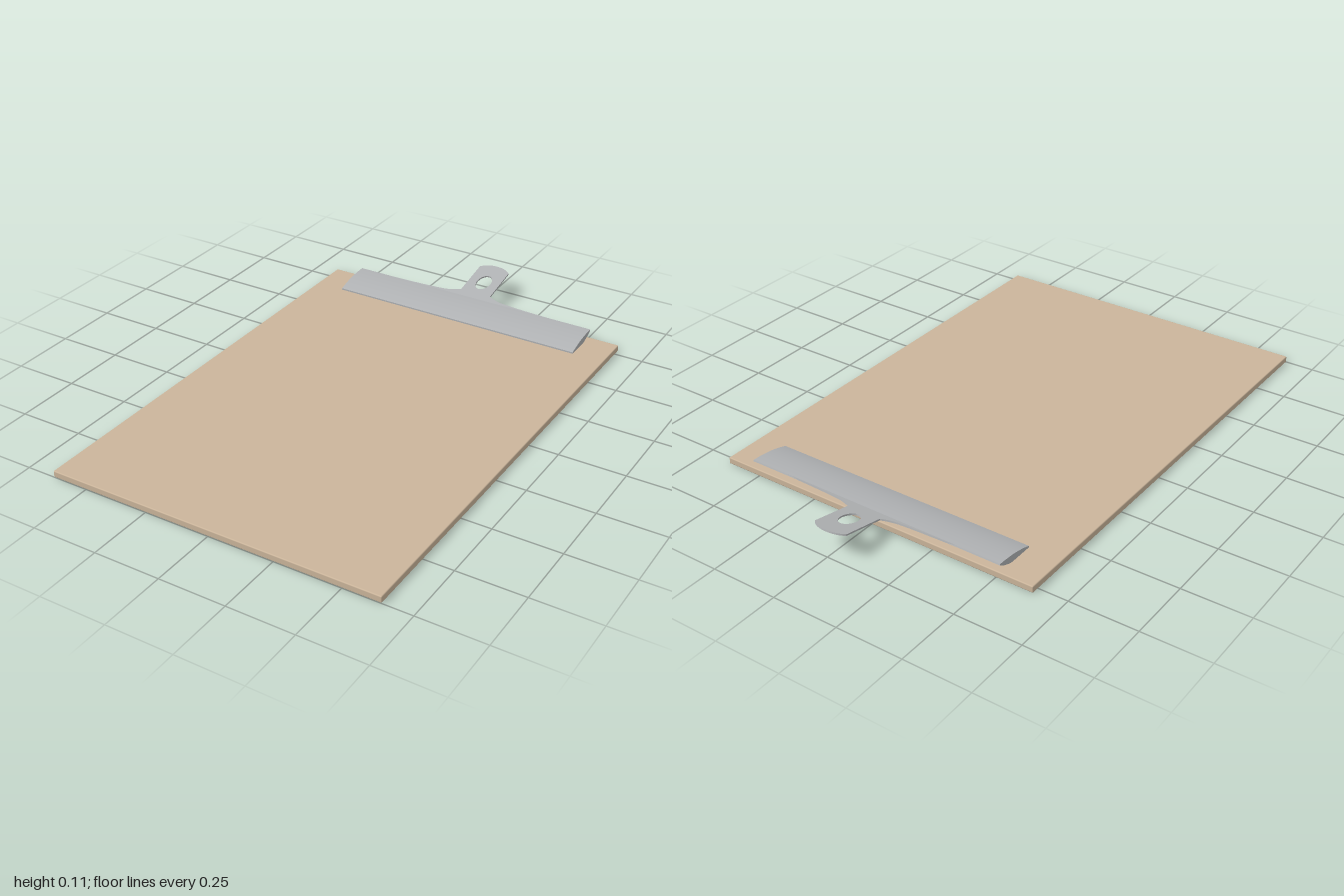
import * as THREE from 'three';
import { toCreasedNormals } from 'three/addons/utils/BufferGeometryUtils.js';
import { RoundedBoxGeometry } from 'three/addons/geometries/RoundedBoxGeometry.js';

export function createModel() {
  const model = new THREE.Group();
  const wood = new THREE.MeshStandardMaterial({ color: 0xcbb59b });
  const metal = new THREE.MeshStandardMaterial({ color: 0xb0b2b4 });

  const add = (name, geometry, material, parent = model) => {
    const mesh = new THREE.Mesh(geometry, material);
    mesh.name = name;
    parent.add(mesh);
    return mesh;
  };

  // Thin board with slightly softened edges
  add('board', new RoundedBoxGeometry(1.28, 0.025, 1.78, 2, 0.004), wood)
    .position.set(0, 0.0125, 0.11);

  const clip = new THREE.Group();
  clip.name = 'clip';
  model.add(clip);

  // Jaw: lens-shaped side section (distance backwards, height) swept across the width
  const section = new THREE.Shape();
  section.moveTo(0.622, 0.028);
  section.lineTo(0.715, 0.028);
  section.quadraticCurveTo(0.75, 0.034, 0.782, 0.055);
  section.lineTo(0.78, 0.06);
  section.quadraticCurveTo(0.69, 0.059, 0.622, 0.034);
  section.closePath();
  const jaw = new THREE.ExtrudeGeometry(section, { depth: 1.036, bevelEnabled: false, curveSegments: 14 });
  jaw.translate(0, 0, -0.518);
  jaw.rotateY(Math.PI / 2);
  add('jaw', toCreasedNormals(jaw, 0.5), metal, clip);

  // Thumb tab: flared root, straight neck, arched end and oval hanging hole
  const tab = new THREE.Shape();
  tab.moveTo(-0.4, -0.025);
  tab.lineTo(0.4, -0.025);
  tab.lineTo(0.4, 0);
  tab.quadraticCurveTo(0.2, 0.004, 0.125, 0.013);
  tab.quadraticCurveTo(0.09, 0.02, 0.066, 0.034);
  tab.lineTo(0.066, 0.2);
  tab.bezierCurveTo(0.035, 0.2335, -0.035, 0.2335, -0.066, 0.2);
  tab.lineTo(-0.066, 0.034);
  tab.quadraticCurveTo(-0.09, 0.02, -0.125, 0.013);
  tab.quadraticCurveTo(-0.2, 0.004, -0.4, 0);
  tab.closePath();
  const hole = new THREE.Path();
  hole.absellipse(0, 0.108, 0.03, 0.046, 0, Math.PI * 2, true);
  tab.holes.push(hole);
  const plate = new THREE.ExtrudeGeometry(tab, { depth: 0.006, bevelEnabled: false, curveSegments: 16 });
  plate.rotateX(0.21 - Math.PI / 2);
  add('thumbTab', toCreasedNormals(plate, 0.5), metal, clip).position.set(0, 0.054, -0.78);

  return model;
}
